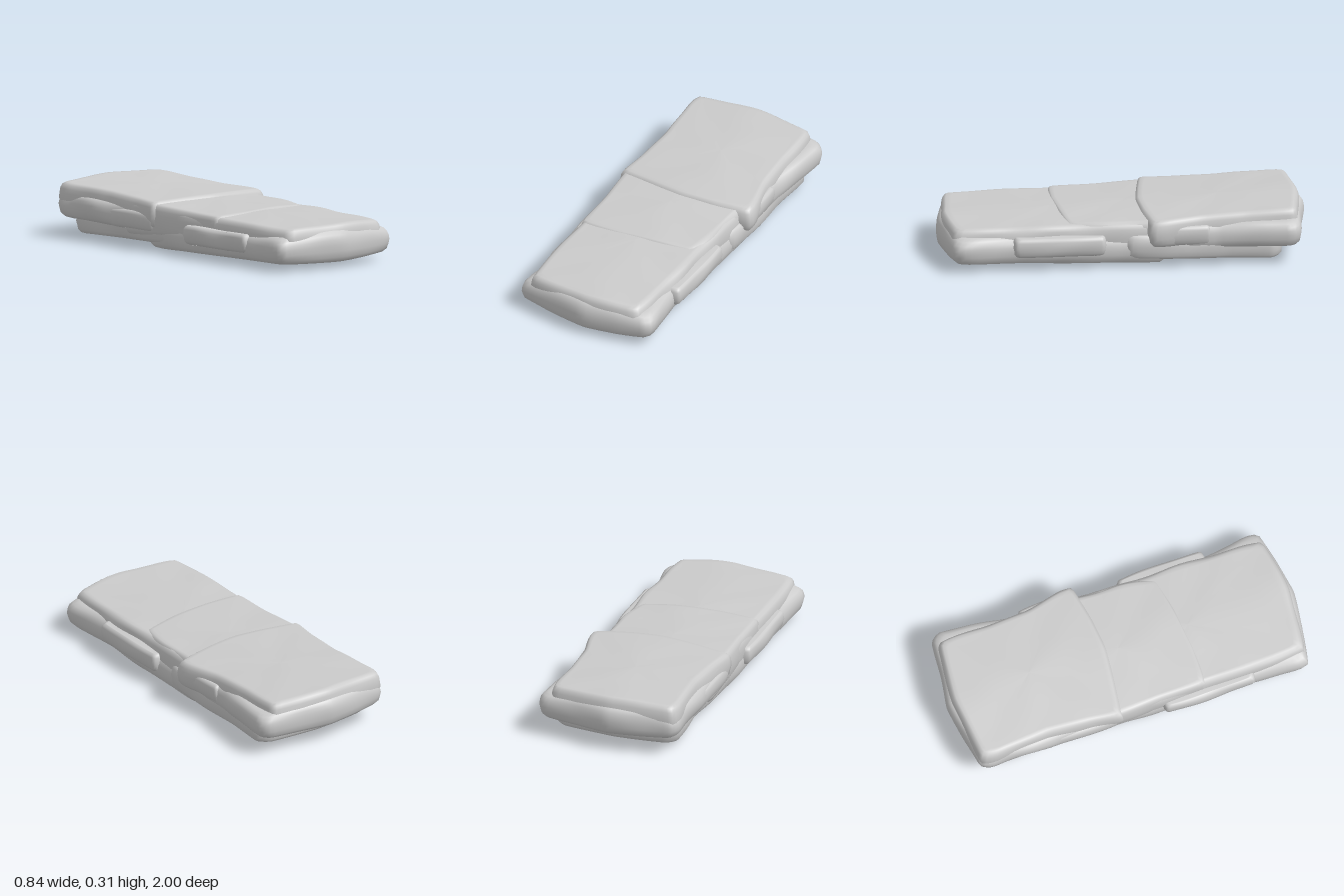
import * as THREE from 'three';

const stone = new THREE.MeshStandardMaterial({ color: 0xcccccc, side: THREE.DoubleSide });
const AROUND = 112;

// Gentle weathering of the stone surface
const ripple = (x, y, z, seed) =>
  Math.sin(9 * x + 5 * z + seed) * Math.sin(7 * z - 6 * x + 11 * y + 2 * seed) * 0.6 +
  Math.sin(19 * z + 23 * y + seed * 3) * Math.sin(17 * x + 4 * seed) * 0.4;

// One stone layer: plan outline [x, z], [front, back] heights of top and bottom,
// crown = drop of the top toward the sides, edge = [top, bottom] bevel
function slab(name, { plan, top, bottom, crown = 0.01, belly = 0.01, edge = [0.03, 0.04], seed = 1 }) {
  const curve = new THREE.CatmullRomCurve3(
    plan.map(([x, z]) => new THREE.Vector3(x, 0, z)), true, 'catmullrom', 0.15);
  const outline = curve.getSpacedPoints(AROUND).slice(0, AROUND);
  const box = new THREE.Box3().setFromPoints(outline);
  const c = box.getCenter(new THREE.Vector3());
  const half = box.getSize(new THREE.Vector3()).multiplyScalar(0.5);
  const [eT, eB] = edge;

  // Rings from the middle of the underside, round the side, to the middle of the top:
  // [cap scale, inset, height fraction]
  const rings = [];
  for (const s of [0, 0.25, 0.5, 0.75, 0.92]) rings.push([s, eB, 0]);
  rings.push([1, eB, 0], [1, eB * 0.55, 0.04], [1, eB * 0.2, 0.16], [1, 0.004, 0.34], [1, 0, 0.52],
    [1, 0.003, 0.68], [1, eT * 0.2, 0.82], [1, eT * 0.5, 0.94], [1, eT, 1]);
  for (const s of [0.95, 0.75, 0.5, 0.25, 0]) rings.push([s, eT, 1]);

  const position = [], index = [];
  rings.forEach(([s, inset, h], r) => {
    outline.forEach((p, i) => {
      let x = c.x + (p.x - c.x) * s * (1 - inset / half.x);
      let z = c.z + (p.z - c.z) * s * (1 - inset / half.z);
      const t = (box.max.z - z) / (2 * half.z);
      const side = ((x - c.x) / half.x) ** 2;
      const lo = THREE.MathUtils.lerp(bottom[0], bottom[1], t) + belly * side;
      const hi = THREE.MathUtils.lerp(top[0], top[1], t) - crown * side;
      const y = THREE.MathUtils.lerp(lo, hi, h);
      const n = ripple(x, y, z, seed);
      const out = s === 1 ? n * 0.009 : 0;
      x += out * (p.x - c.x) / half.x;
      z += out * 0.5 * (p.z - c.z) / half.z;
      position.push(x, y + n * (h > 0.5 ? 0.004 : 0.002), z);
      if (r < rings.length - 1) {
        const j = (i + 1) % AROUND, a = r * AROUND + i, b = r * AROUND + j;
        index.push(a, b, b + AROUND, a, b + AROUND, a + AROUND);
      }
    });
  });
  const geometry = new THREE.BufferGeometry();
  geometry.setAttribute('position', new THREE.Float32BufferAttribute(position, 3));
  geometry.setIndex(index);
  geometry.computeVertexNormals();
  const mesh = new THREE.Mesh(geometry, stone);
  mesh.name = name;
  return mesh;
}

export function createModel() {
  const group = new THREE.Group();
  group.name = 'layeredStoneSlab';

  // Outlines run counter-clockwise seen from above, starting at the front left corner
  group.add(
    // Wide lower layer at the front
    slab('frontBase', {
      plan: [[-0.41, 0.93], [-0.2, 0.97], [0, 0.998], [0.2, 0.97], [0.37, 0.93], [0.385, 0.86], [0.355, 0.58],
        [0.37, 0.3], [0.36, 0], [0.35, -0.22], [0, -0.245], [-0.35, -0.22], [-0.37, 0], [-0.385, 0.3],
        [-0.395, 0.6], [-0.42, 0.86]],
      top: [0.215, 0.2], bottom: [0.033, 0.002], crown: 0.035, belly: 0.016, edge: [0.05, 0.05], seed: 1,
    }),
    // Upper layer at the front, up to the first step
    slab('frontTop', {
      plan: [[-0.355, 0.93], [0, 0.975], [0.31, 0.93], [0.335, 0.6], [0.34, 0.2], [0.33, -0.2],
        [-0.36, -0.2], [-0.375, 0.2], [-0.375, 0.6]],
      top: [0.238, 0.258], bottom: [0.08, 0.06], crown: 0.012, edge: [0.03, 0.03], seed: 2.3,
    }),
    // Middle step
    slab('middleStep', {
      plan: [[-0.365, 0.36], [-0.15, 0.375], [0.12, 0.345], [0.3, 0.315], [0.335, 0.1], [0.33, -0.4],
        [-0.37, -0.4], [-0.375, 0.1]],
      top: [0.252, 0.28], bottom: [0.1, 0.06], crown: 0.014, edge: [0.022, 0.03], seed: 3.1,
    }),
    // Raised layer at the back
    slab('rearTop', {
      plan: [[-0.395, -0.13], [-0.2, -0.095], [0, -0.075], [0.2, -0.09], [0.4, -0.13], [0.405, -0.2], [0.365, -0.4],
        [0.35, -0.65], [0.34, -0.93], [0, -0.975], [-0.36, -0.94], [-0.385, -0.86], [-0.36, -0.55], [-0.38, -0.3]],
      top: [0.282, 0.314], bottom: [0.11, 0.12], crown: 0.016, edge: [0.028, 0.04], seed: 4.7,
    }),
    // Ledge that juts out beneath the raised layer
    slab('rearLedge', {
      plan: [[-0.36, -0.3], [0.36, -0.3], [0.375, -0.5], [0.405, -0.75], [0.418, -0.9], [0.38, -0.945],
        [0.2, -0.97], [0, -1], [-0.2, -0.975], [-0.36, -0.945], [-0.39, -0.88], [-0.385, -0.6]],
      top: [0.245, 0.265], bottom: [0.09, 0.1], crown: 0.02, edge: [0.04, 0.045], seed: 5.2,
    }),
    // Lower layer at the back
    slab('rearBase', {
      plan: [[-0.35, 0], [0.35, 0], [0.375, -0.3], [0.36, -0.55], [0.37, -0.8], [0.3, -0.85], [0, -0.87],
        [-0.3, -0.85], [-0.355, -0.8], [-0.345, -0.5], [-0.365, -0.25]],
      top: [0.2, 0.16], bottom: [0.042, 0.022], crown: 0.01, belly: 0.008, edge: [0.03, 0.03], seed: 6.4,
    }),
  );

  // Flakes on the long sides
  const flakes = [
    ['frontFlake', 0.388, 0.12, 0.6, 0.19, 0.075, 7.1],
    ['frontFlake', -0.412, 0.12, 0.62, 0.18, 0.07, 8.2],
    ['rearFlake', 0.385, -0.45, -0.14, 0.235, 0.12, 9.4],
    ['rearFlake', -0.388, -0.52, -0.16, 0.21, 0.1, 10.3],
  ];
  for (const [name, x, back, front, top, bottom, seed] of flakes) {
    const inner = x - Math.sign(x) * 0.16;
    const [a, b] = x > 0 ? [inner, x] : [x, inner];
    group.add(slab(x > 0 ? `${name}Left` : `${name}Right`, {
      plan: [[a, front], [b, front], [b, back], [a, back]],
      top: [top, top], bottom: [bottom, bottom], crown: 0.005, edge: [0.02, 0.03], seed,
    }));
  }
  return group;
}
